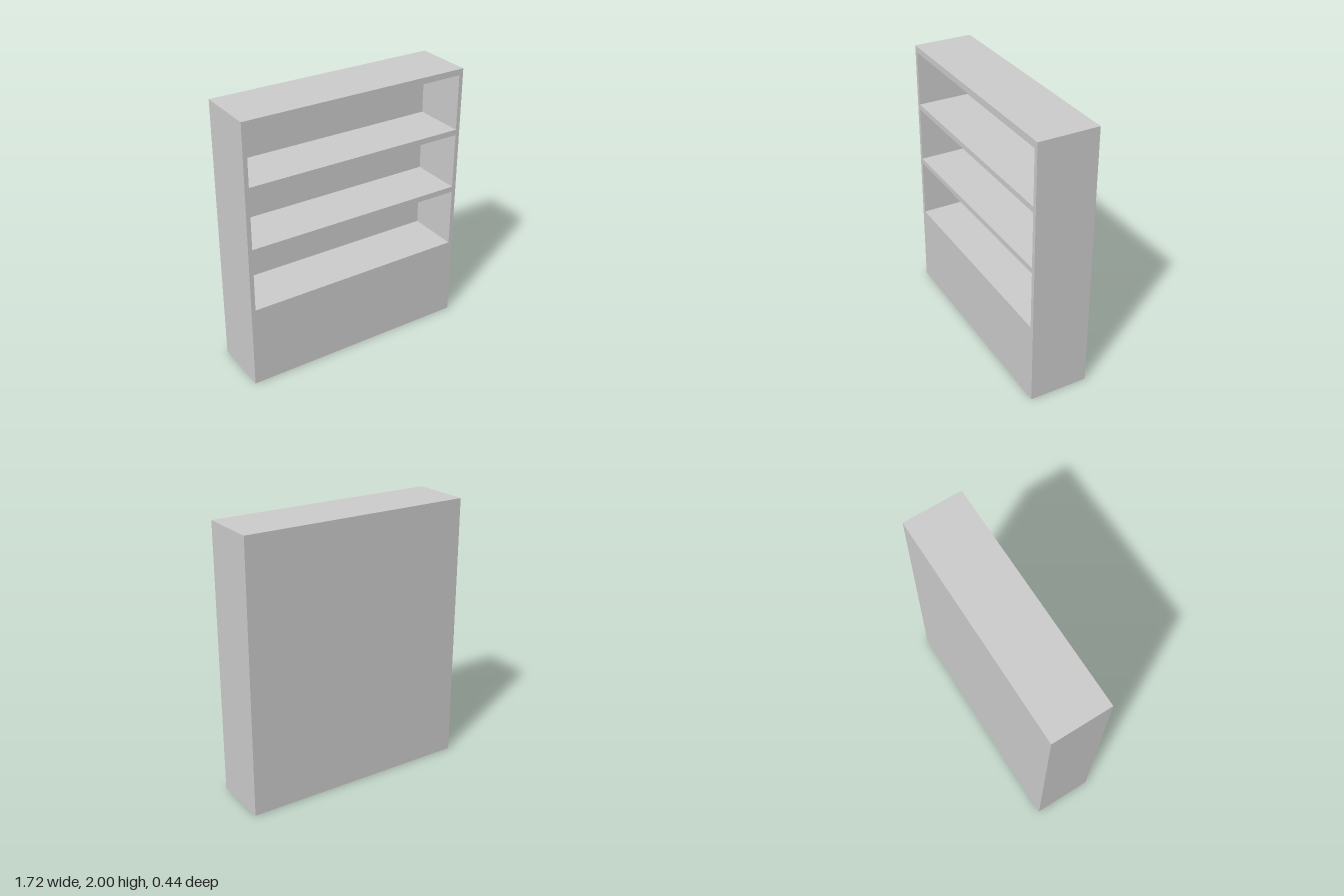
import * as THREE from 'three';

const W = 1.724, H = 2, D = 0.44, BACK = 0.045; // overall size and back panel thickness
const INNER = 0.831; // half width of the openings
const OPENINGS = [[0.613, 1.048], [1.09, 1.504], [1.546, 1.955]]; // bottom and top of each

// Rectangle traced as a shape or a hole
function rect(path, x, y0, y1) {
  path.moveTo(-x, y0);
  path.lineTo(x, y0);
  path.lineTo(x, y1);
  path.lineTo(-x, y1);
  path.closePath();
  return path;
}

export function createModel() {
  const group = new THREE.Group();
  group.name = 'bookcase';
  const material = new THREE.MeshStandardMaterial({ color: 0xcccccc });

  // Sides, shelves, top and solid base, cut through by the three openings
  const outline = rect(new THREE.Shape(), W / 2, 0, H);
  for (const [y0, y1] of OPENINGS) outline.holes.push(rect(new THREE.Path(), INNER, y0, y1));
  const carcass = new THREE.Mesh(
    new THREE.ExtrudeGeometry(outline, { depth: D - BACK, bevelEnabled: false }), material);
  carcass.name = 'carcass';
  carcass.position.z = -D / 2 + BACK;
  group.add(carcass);

  // Panel closing the back of the openings
  const backPanel = new THREE.Mesh(new THREE.BoxGeometry(W, H, BACK), material);
  backPanel.name = 'backPanel';
  backPanel.position.set(0, H / 2, -D / 2 + BACK / 2);
  group.add(backPanel);

  return group;
}
